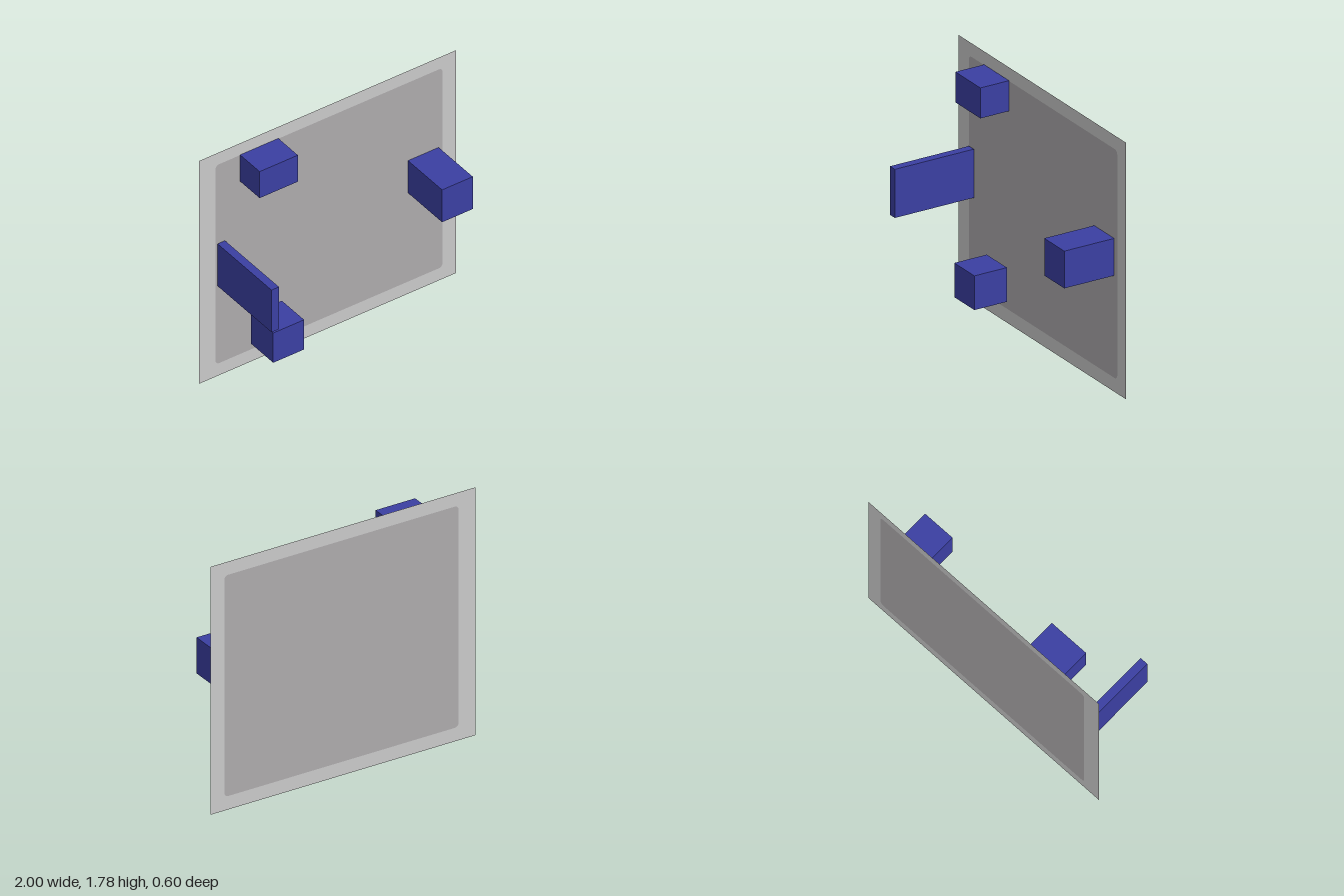
import * as THREE from 'three';

const H = 1.785, BACK = -0.3;

// Traces a rounded rectangle onto a Shape or Path
function roundedRect(path, x0, y0, x1, y1, r) {
  path.moveTo(x0 + r, y0);
  path.lineTo(x1 - r, y0);
  path.absarc(x1 - r, y0 + r, r, -Math.PI / 2, 0);
  path.lineTo(x1, y1 - r);
  path.absarc(x1 - r, y1 - r, r, 0, Math.PI / 2);
  path.lineTo(x0 + r, y1);
  path.absarc(x0 + r, y1 - r, r, Math.PI / 2, Math.PI);
  path.lineTo(x0, y0 + r);
  path.absarc(x0 + r, y0 + r, r, Math.PI, Math.PI * 1.5);
  return path;
}

export function createModel() {
  const group = new THREE.Group();
  const frameGrey = new THREE.MeshStandardMaterial({ color: 0xc9c9c9, side: THREE.DoubleSide });
  frameGrey.name = 'frame grey';
  const panelGrey = new THREE.MeshStandardMaterial({ color: 0xadaaac, side: THREE.DoubleSide });
  panelGrey.name = 'panel grey';
  const blue = new THREE.MeshStandardMaterial({ color: 0x3b3fa2 });
  blue.name = 'block blue';

  const add = (name, geometry, material, x, y, z) => {
    const mesh = new THREE.Mesh(geometry, material);
    mesh.name = name;
    mesh.position.set(x, y, z);
    group.add(mesh);
  };

  // Flat border with a rounded opening, filled by the inner panel
  const opening = [-0.873, 0.097, 0.896, 1.69, 0.03];
  const border = new THREE.Shape([
    new THREE.Vector2(-1, 0), new THREE.Vector2(1, 0),
    new THREE.Vector2(1, H), new THREE.Vector2(-1, H),
  ]);
  border.holes.push(roundedRect(new THREE.Path(), ...opening));
  add('frame', new THREE.ShapeGeometry(border), frameGrey, 0, 0, BACK);
  add('panel', new THREE.ShapeGeometry(roundedRect(new THREE.Shape(), ...opening)), panelGrey, 0, 0, BACK);

  // Blocks standing out from the panel: name, min corner, max corner
  const blocks = [
    ['upperBlock', [-0.685, 1.485, -0.295], [-0.387, 1.697, -0.08]],
    ['lowerBlock', [-0.616, 0.168, -0.272], [-0.376, 0.406, -0.028]],
    ['leftBlock', [0.625, 0.81, -0.297], [0.864, 1.069, 0.078]],
    ['rightFin', [-0.862, 0.726, -0.293], [-0.804, 1.064, 0.3]],
  ];
  for (const [name, a, b] of blocks) {
    const size = a.map((v, i) => b[i] - v);
    const mid = a.map((v, i) => (b[i] + v) / 2);
    add(name, new THREE.BoxGeometry(...size), blue, ...mid);
  }
  return group;
}
